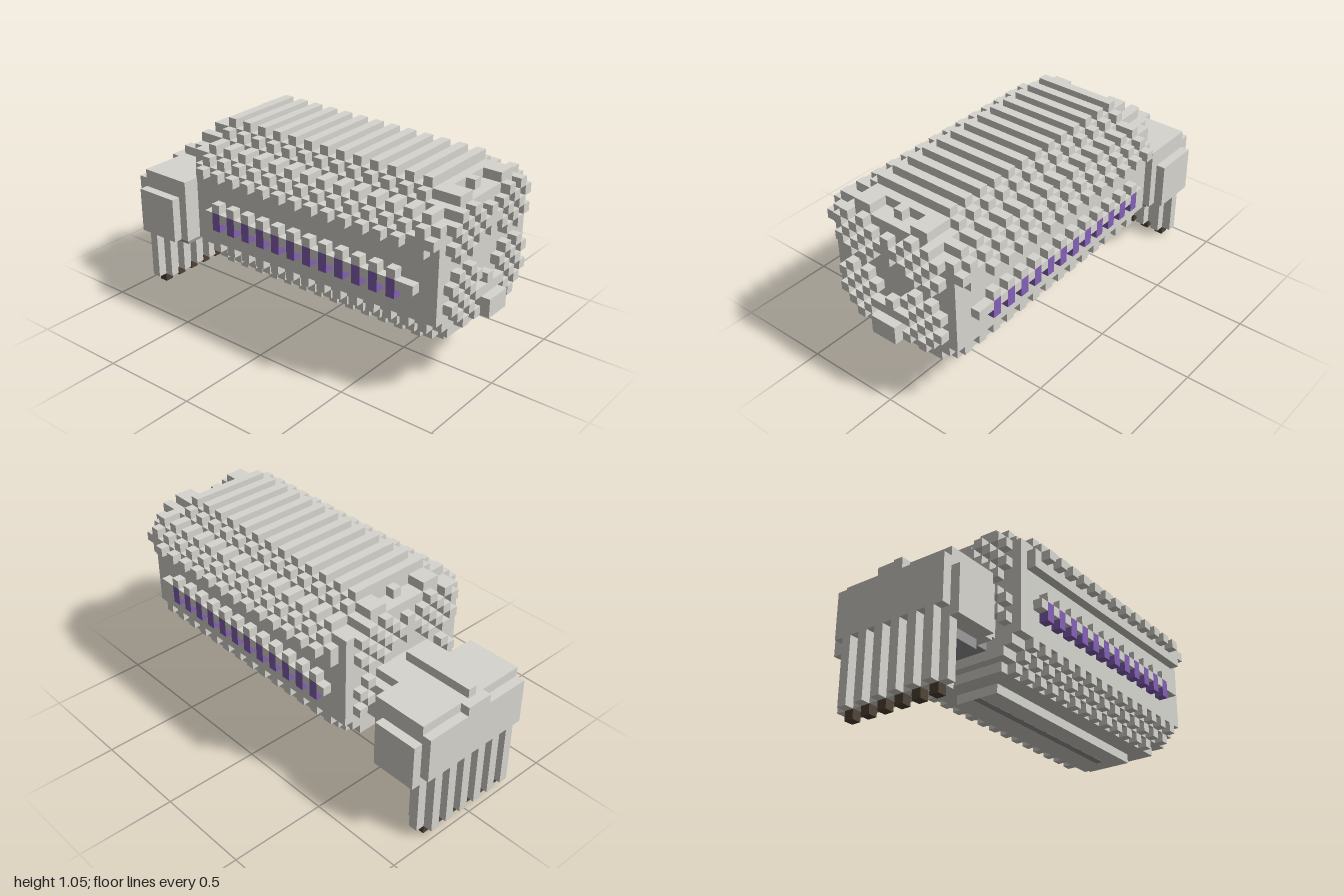
import * as THREE from 'three';
import { mergeGeometries } from 'three/addons/utils/BufferGeometryUtils.js';

const U = 1 / 21; // edge of one block

// Box over inclusive block ranges: i across, j up, k from front to back
function block(i0, i1, j0, j1, k0, k1) {
  const g = new THREE.BoxGeometry((i1 - i0 + 1) * U, (j1 - j0 + 1) * U, (k1 - k0 + 1) * U);
  return g.translate((i0 + i1) / 2 * U, (j0 + j1 + 1) / 2 * U, 1 - (k0 + k1 + 1) / 2 * U);
}

// The same box on both sides
function pair(i0, i1, ...rest) {
  return [block(i0, i1, ...rest), block(-i1, -i0, ...rest)];
}

// Staggered bumps and two crosses over an end face
function endFace(k, firstRow) {
  const parts = [
    block(0, 0, firstRow, 11, k, k), block(-1, 1, 10, 10, k, k),
    block(0, 0, 16, 18, k, k), block(-1, 1, 17, 17, k, k),
  ];
  for (let j = firstRow; j <= 19; j++) {
    if (j === 14) continue;
    for (let i = 2; i <= (j < 9 ? 5 : 6); i++) {
      if ((i + j) % 2 === 0) parts.push(...pair(i, i, j, j, k, k));
    }
  }
  return parts;
}

export function createModel() {
  const model = new THREE.Group();
  const material = (name, color) => {
    const m = new THREE.MeshStandardMaterial({ color });
    m.name = name;
    return m;
  };
  const grey = material('light grey', 0xd6d5ce);
  const dark = material('dark grey', 0x9b9a9a);
  const purple = material('purple', 0x8460b6);
  const brown = material('dark brown', 0x4f4235);
  const add = (name, mat, parts) => {
    const mesh = new THREE.Mesh(mergeGeometries(parts), mat);
    mesh.name = name;
    model.add(mesh);
  };

  // Body core: [first row, last row, half width, first slice, last slice]
  const rows = [
    [5, 5, 2, 5, 28], [6, 6, 4, 3, 30], [7, 7, 5, 2, 31], [8, 8, 6, 2, 31],
    [9, 15, 7, 2, 31], [16, 16, 8, 3, 30], [17, 17, 8, 2, 31], [18, 18, 7, 2, 31],
    [19, 19, 5, 2, 31], [20, 20, 4, 4, 29],
  ];
  const core = [block(-7, 7, 16, 16, 2, 31)];
  for (const [j0, j1, h, k0, k1] of rows) {
    core.push(block(-h, h, j0, j1, k0, Math.min(k1, 30)));
    // Last slice steps inward
    if (k1 === 31) core.push(block(-Math.min(h, 7), Math.min(h, 7), j0, j1, 31, 31));
  }
  // Notched top row at both ends
  for (const [k0, k1, inner] of [[2, 3, 3], [30, 31, 30]]) {
    core.push(...pair(3, 4, 20, 20, k0, k1), block(0, 0, 20, 20, inner, inner));
  }
  add('body', grey, core);

  // Raised rings over the back and under the flanks: [row, half width, first slice]
  const rings = [];
  for (const [j, h, start] of [[21, 4, 5], [20, 5, 5], [19, 7, 3], [18, 8, 3], [17, 9, 5],
    [8, 7, 3], [7, 6, 3], [6, 5, 5]]) {
    for (let k = start; k <= 29; k += 2) rings.push(block(-h, h, j, j, k, k));
  }
  add('rings', grey, rings);

  // Side rail with purple lights set between its blocks
  const rail = [...pair(8, 8, 12, 12, 4, 4)];
  const lights = [];
  for (let k = 5; k <= 29; k += 2) rail.push(...pair(8, 8, 12, 12, k, k));
  for (let k = 6; k <= 28; k += 2) {
    rail.push(...pair(8, 8, 13, 13, k, k));
    lights.push(...pair(8, 8, 11, 12, k, k));
  }
  add('sideRail', grey, rail);
  add('sideLights', purple, lights);

  // End faces and nose
  add('frontFace', grey, endFace(1, 8));
  add('nose', grey, [block(-1, 1, 8, 9, 0, 1)]);
  add('rearFace', grey, endFace(32, 10));

  // Dark strip under the keel
  const strip = new THREE.BoxGeometry(0.8 * U, 0.006, 22 * U);
  strip.translate(0, 5 * U + 0.002, 1 - 18 * U);
  add('keelStrip', dark, [strip]);

  // Neck and head behind the body, joined by a ridge on top
  add('neck', grey, [block(-4, 4, 9, 12, 32, 34), block(-3, 3, 13, 13, 32, 34)]);
  add('neckUnderside', dark, [block(-3, 3, 8, 8, 32, 34)]);
  add('head', grey, [
    block(-6, 6, 7, 13, 35, 40), block(-6, 6, 8, 12, 41, 41),
    block(-1, 1, 13, 13, 41, 41), block(-6, 6, 6, 6, 40, 40),
    ...pair(7, 7, 7, 11, 36, 40),
  ]);
  add('headRidge', grey, [block(0, 0, 14, 14, 33, 40)]);
  add('headUnderside', dark, [block(-5, 5, 6, 6, 36, 39)]);

  // Hanging comb with ribs and brown tips
  const comb = [block(-6, 6, 1, 5, 40, 40)];
  const tips = [];
  for (let i = -5; i <= 5; i += 2) {
    comb.push(block(i, i, 1, 5, 39, 39), block(i, i, 1, 7, 41, 41));
    tips.push(block(i, i, 0, 0, 40, 40));
  }
  add('comb', grey, comb);
  add('combTips', brown, tips);

  return model;
}
